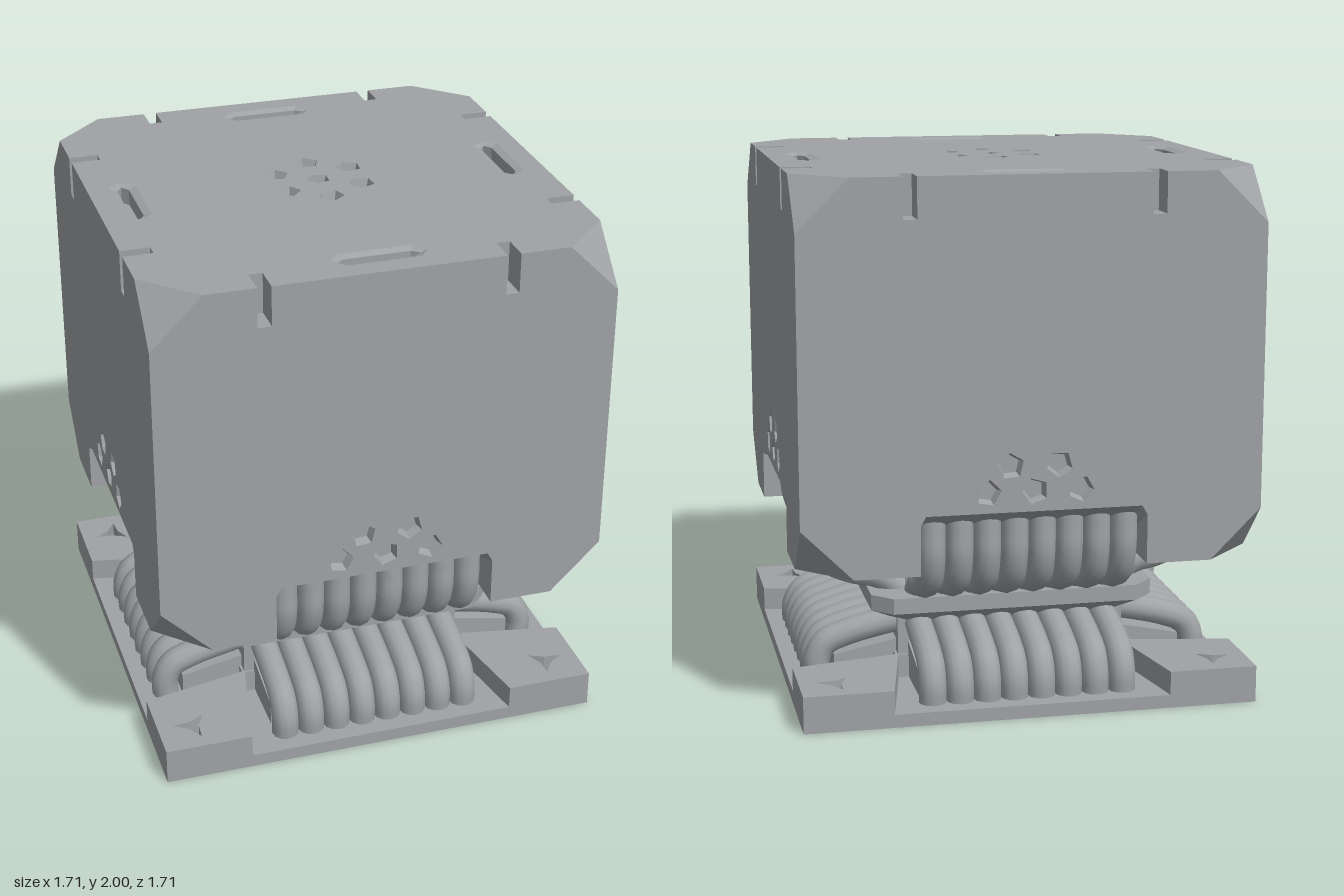
import * as THREE from 'three';
import { mergeGeometries } from 'three/addons/utils/BufferGeometryUtils.js';
import { ConvexGeometry } from 'three/addons/geometries/ConvexGeometry.js';

const H = 0.853, TOP = 2, LOW = 0.565, CUT = 0.19, E = H - CUT;
const SLOT = 0.45, SLOT_W = 0.025, SLOT_D = 0.11, SLOT_H = 0.15;
const NOTCH_D = 0.215;
const mat = new THREE.MeshStandardMaterial({ color: 0xa0a2a6 });

const toV2 = (pts) => pts.map(([x, y]) => new THREE.Vector2(x, y));

function makeShape(pts, holes = []) {
  const s = new THREE.Shape(toV2(pts));
  holes.forEach((h) => s.holes.push(new THREE.Path(toV2(h))));
  return s;
}

function addMesh(parent, name, geo) {
  const m = new THREE.Mesh(geo, mat);
  m.name = name;
  parent.add(m);
  return m;
}

// Regular polygon or star (two alternating radii), counter-clockwise
function star(cx, cy, n, r, turn = 0, r2 = r) {
  return Array.from({ length: n }, (_, i) => {
    const a = turn + (i / n) * Math.PI * 2, q = i % 2 ? r2 : r;
    return [cx + q * Math.cos(a), cy + q * Math.sin(a)];
  });
}

// Repeats one edge's points around a square
function ring4(pts) {
  const out = [];
  let p = pts;
  for (let k = 0; k < 4; k++) {
    out.push(...p);
    p = p.map(([x, y]) => [-y, x]);
  }
  return out;
}

// Scales an outline about its middle
function shrink(pts, sx, sy) {
  const n = pts.length;
  const cx = pts.reduce((s, p) => s + p[0], 0) / n;
  const cy = pts.reduce((s, p) => s + p[1], 0) / n;
  return pts.map(([x, y]) => [cx + (x - cx) * sx, cy + (y - cy) * sy]);
}

// Walls and floor of a pocket sunk behind a counter-clockwise outline
function pit(pts, depth, floor = pts, open = false) {
  const n = pts.length, pos = [];
  for (let i = 0; i < (open ? n - 1 : n); i++) {
    const j = (i + 1) % n;
    const a = [...pts[i], 0], b = [...pts[j], 0];
    const c = [...floor[j], -depth], d = [...floor[i], -depth];
    pos.push(...a, ...b, ...c, ...a, ...c, ...d);
  }
  const walls = new THREE.BufferGeometry();
  walls.setAttribute('position', new THREE.Float32BufferAttribute(pos, 3));
  return [walls, new THREE.ShapeGeometry(makeShape(floor)).translate(0, 0, -depth)];
}

const dentPit = (pts) => pit(pts, 0.035, shrink(pts, 0.75, 0.75));

// Shallow bevelled rim around a narrow deep slot
function groovePit(pts, sx, sy) {
  const slot = shrink(pts, sx, sy);
  return [pit(pts, 0.01, slot)[0], ...pit(slot, 0.06).map((g) => g.translate(0, 0, -0.01))];
}

// Joins pieces into one flat-faced geometry
function join(parts) {
  const flat = parts.map((g) => {
    const f = g.index ? g.toNonIndexed() : g;
    f.deleteAttribute('uv');
    f.deleteAttribute('normal');
    return f;
  });
  const geo = mergeGeometries(flat);
  geo.computeVertexNormals();
  return geo;
}

// Extruded horizontal slab from y0 to y1
function slab(pts, holes, y0, y1) {
  return new THREE.ExtrudeGeometry(makeShape(pts, holes), { depth: y1 - y0, bevelEnabled: false })
    .rotateX(-Math.PI / 2).translate(0, y0, 0);
}

function makeBody() {
  const body = new THREE.Group();
  body.name = 'body';

  // Side panels with slope-roofed cable notch, top slots and small dents
  const notch = [[0.42, LOW], [0.42, 0.75], [0.4, 0.785], [-0.4, 0.785], [-0.42, 0.75], [-0.42, LOW]];
  const notchBack = notch.map(([x, y]) => [x, LOW + (y - LOW) * 0.42]);
  const slot = (u) => [[u - SLOT_W, TOP], [u - SLOT_W, TOP - SLOT_H], [u + SLOT_W, TOP - SLOT_H], [u + SLOT_W, TOP]];
  const sideDents = [[-0.09, 0.955], [0.09, 0.955], [-0.175, 0.86], [0, 0.86], [0.17, 0.86]]
    .map(([x, y], i) => star(x, y, 5, 0.05, 0.4 + i * 0.5));
  const outline = [
    [-E, LOW], ...[...notch].reverse(), [E, LOW], [H, LOW + CUT], [H, TOP - CUT], [E, TOP],
    ...slot(SLOT).reverse(), ...slot(-SLOT).reverse(), [-E, TOP], [-H, TOP - CUT], [-H, LOW + CUT],
  ];
  const side = join([
    new THREE.ShapeGeometry(makeShape(outline, sideDents)),
    ...pit(notch, NOTCH_D, notchBack, true),
    ...[-SLOT, SLOT].flatMap((u) => pit(slot(u), SLOT_D, slot(u), true)),
    ...sideDents.flatMap(dentPit),
  ]).translate(0, 0, H);
  for (let k = 0; k < 4; k++) addMesh(body, 'sidePanel', side).rotation.y = (k * Math.PI) / 2;

  // Top panel with four long grooves and a ring of dents
  const groove = [[-0.175, 0], [-0.14, -0.05], [0.14, -0.05], [0.175, 0], [0.14, 0.05], [-0.14, 0.05]];
  const grooves = [-0.72, 0.72].flatMap((d) => [
    groove.map(([x, y]) => [x, y + d]),
    groove.map(([x, y]) => [d - y, x]),
  ]);
  const dents = [star(0, 0, 5, 0.045, 0.6)];
  for (let i = 0; i < 6; i++) {
    const a = Math.PI / 2 + (i * Math.PI) / 3;
    dents.push(star(0.165 * Math.cos(a), 0.165 * Math.sin(a), 5, 0.05, a));
  }
  const edgeSlot = (u) => [[u - SLOT_W, -H], [u - SLOT_W, SLOT_D - H], [u + SLOT_W, SLOT_D - H], [u + SLOT_W, -H]];
  const topOutline = ring4([[-E, -H], ...edgeSlot(-SLOT), ...edgeSlot(SLOT), [E, -H]]);
  addMesh(body, 'topPanel', join([
    new THREE.ShapeGeometry(makeShape(topOutline, [...grooves, ...dents])),
    ...grooves.flatMap((g, i) => (i % 2 ? groovePit(g, 0.45, 0.88) : groovePit(g, 0.88, 0.45))),
    ...dents.flatMap(dentPit),
  ]).rotateX(-Math.PI / 2).translate(0, TOP, 0));

  // Underside with the four notches cut out
  const inner = NOTCH_D - H;
  const under = ring4([[-E, -H], [-0.42, -H], [-0.42, inner], [0.42, inner], [0.42, -H], [E, -H]]);
  addMesh(body, 'underside',
    new THREE.ShapeGeometry(makeShape(under)).rotateX(Math.PI / 2).translate(0, LOW, 0));

  // Eight cut-off corners
  const corners = [];
  for (const sx of [-1, 1]) for (const sz of [-1, 1]) for (const sy of [-1, 1]) {
    const y = sy > 0 ? TOP : LOW;
    const a = [sx * E, y, sz * H], b = [sx * H, y - sy * CUT, sz * H], c = [sx * H, y, sz * E];
    corners.push(...(sx * sy * sz > 0 ? [a, b, c] : [a, c, b]).flat());
  }
  const tri = new THREE.BufferGeometry();
  tri.setAttribute('position', new THREE.Float32BufferAttribute(corners, 3));
  tri.computeVertexNormals();
  addMesh(body, 'corners', tri);
  return body;
}

function makeBase() {
  const base = new THREE.Group();
  base.name = 'base';

  // Floor plate, pierced by a star and corner triangles
  const triangles = [];
  for (const sx of [-1, 1]) for (const sz of [-1, 1]) {
    triangles.push([[sx * 0.83, sz * 0.83], [sx * 0.83, sz * 0.68], [sx * 0.68, sz * 0.83]]);
  }
  addMesh(base, 'floorPlate',
    slab(ring4([[-H, -H]]), [star(0, 0, 8, 0.17, Math.PI / 4, 0.045), ...triangles], 0, 0.05));

  // Corner blocks with keyed holes
  const blocks = ring4([[-H, -H], [-0.52, -H], [-0.44, -0.45], [0.44, -0.45], [0.52, -H]]);
  const keys = [0, 1, 2, 3].map((k) => {
    const a = Math.PI / 4 + (k * Math.PI) / 2;
    return star(1.02 * Math.cos(a), 1.02 * Math.sin(a), 6, 0.075, a + Math.PI, 0.025);
  });
  addMesh(base, 'cornerBlocks', slab(blocks, keys, 0.05, 0.14));

  // Core, ramps below the cables, and the neck up to the body
  addMesh(base, 'core', new THREE.BoxGeometry(0.88, 0.24, 0.88).translate(0, 0.17, 0));
  addMesh(base, 'neck', new THREE.BoxGeometry(0.8, 0.22, 0.8).translate(0, 0.47, 0));
  const ramp = new THREE.ExtrudeGeometry(
    makeShape([[-0.68, 0.05], [-0.44, 0.05], [-0.44, 0.19], [-0.68, 0.14]]),
    { depth: 0.8, bevelEnabled: false },
  ).translate(0, 0, -0.4);
  for (let k = 0; k < 4; k++) addMesh(base, 'ramp', ramp).rotation.y = (k * Math.PI) / 2;

  // Collar with clipped corners and a tapered underside
  const collar = [];
  for (const [y, s] of [[0.39, 1], [0.33, 1], [0.27, 0.82]]) {
    ring4([[-0.47, -0.545], [0.47, -0.545]]).forEach(([x, z]) => collar.push(new THREE.Vector3(x * s, y, z * s)));
  }
  addMesh(base, 'collar', new ConvexGeometry(collar));
  return base;
}

// Banks of eight bent cables on every side, above and below the collar
function makeCables() {
  const cables = new THREE.Group();
  cables.name = 'cables';
  const paths = {
    upperCable: [[0.735, 0.82], [0.738, 0.7], [0.735, 0.6], [0.695, 0.51], [0.6, 0.46], [0.5, 0.435], [0.4, 0.36]],
    lowerCable: [[0.38, 0.27], [0.5, 0.247], [0.63, 0.215], [0.71, 0.18], [0.742, 0.12], [0.742, 0.04]],
  };
  for (const [name, pts] of Object.entries(paths)) {
    const curve = new THREE.CatmullRomCurve3(pts.map(([d, y]) => new THREE.Vector3(0, y, d)));
    const tube = new THREE.TubeGeometry(curve, 28, 0.052, 12, false);
    for (let k = 0; k < 4; k++) {
      const bank = new THREE.Group();
      bank.name = name + 'Bank';
      bank.rotation.y = (k * Math.PI) / 2;
      for (let i = 0; i < 8; i++) addMesh(bank, name, tube).position.x = (i - 3.5) * 0.103;
      cables.add(bank);
    }
  }
  return cables;
}

export function createModel() {
  const model = new THREE.Group();
  model.name = 'cableCube';
  model.add(makeBody(), makeBase(), makeCables());
  return model;
}
